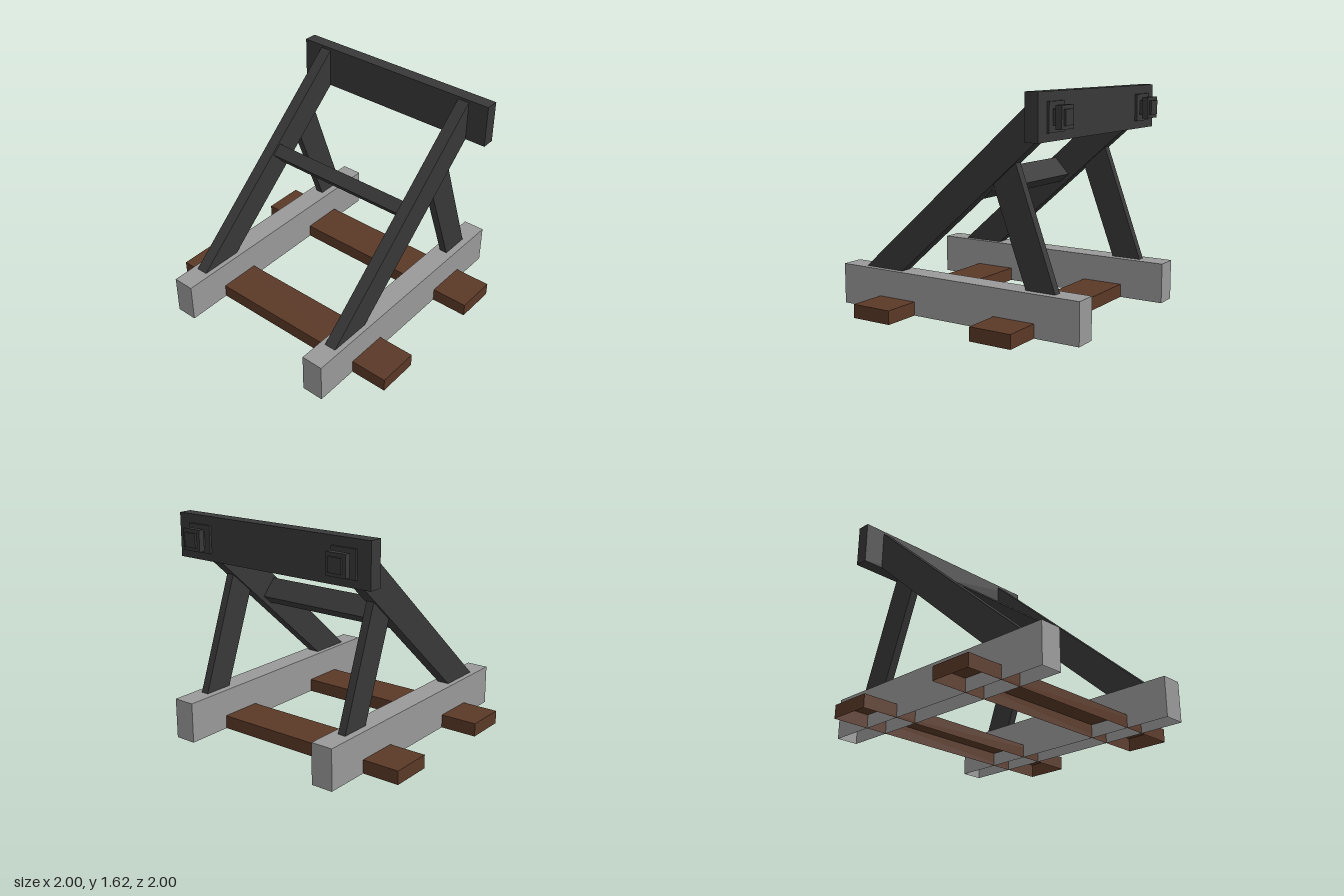
import * as THREE from 'three';

const material = (color, side = THREE.FrontSide) =>
  new THREE.MeshStandardMaterial({ color, side, flatShading: true });

export function createModel() {
  const model = new THREE.Group();
  model.name = 'bufferStop';
  const iron = material(0x383838);
  const steel = material(0x999999, THREE.DoubleSide);
  const wood = material(0x5a3826, THREE.DoubleSide);

  function add(name, geometry, mat) {
    const mesh = new THREE.Mesh(geometry, mat);
    mesh.name = name;
    model.add(mesh);
    return mesh;
  }

  // box given by its lower and upper limits; optionally left open underneath
  function box(name, [x0, x1], [y0, y1], [z0, z1], mat, open = false) {
    const g = new THREE.BoxGeometry(x1 - x0, y1 - y0, z1 - z0);
    if (open) {
      const index = Array.from(g.index.array);
      index.splice(18, 6);
      g.setIndex(index);
      g.clearGroups();
    }
    g.translate((x0 + x1) / 2, (y0 + y1) / 2, (z0 + z1) / 2);
    return add(name, g, mat);
  }

  // beam with an outline in the xy plane, running along z
  function beam(name, outline, zMid, width) {
    const shape = new THREE.Shape(outline.map(([x, y]) => new THREE.Vector2(x, y)));
    const g = new THREE.ExtrudeGeometry(shape, { depth: width, bevelEnabled: false });
    g.translate(0, 0, zMid - width / 2);
    return add(name, g, iron);
  }

  // sleepers, hollow below
  for (const x of [-0.5, 0.5]) {
    box('sleeper', [x - 0.16, x + 0.16], [0, 0.1], [-1, 1], wood, true);
  }

  for (const s of [-1, 1]) {
    const z = s * 0.635;

    // rail, hollow below
    box('rail', [-1, 1], [0, 0.3], [z - 0.083, z + 0.083], steel, true);

    // sloping beam, its square-cut foot sunk into the rail
    beam('slopingBeam', [[-0.815, 0.295], [-0.66, 0.14], [0.66, 1.3], [0.7, 1.335], [0.7, 1.6], [0.66, 1.6]], z, 0.09);

    // rear strut under the sloping beam
    beam('strut', [[0.57, 0.28], [0.797, 0.28], [0.473, 1.17], [0.295, 1.015]], z, 0.06);

    // stepped buffer: base plate, shaft and collar
    for (const [name, x0, x1, half] of [
      ['bufferBase', 0.755, 0.777, 0.1],
      ['bufferShaft', 0.77, 0.87, 0.052],
      ['bufferCollar', 0.81, 0.855, 0.078],
    ]) {
      box(name, [x0, x1], [1.457 - half, 1.457 + half], [z - half, z + half], iron);
    }
  }

  // tilted bar between the sloping beams
  beam('crossBar', [[-0.02, 0.975], [0.095, 0.85], [0.17, 0.915], [0.055, 1.04]], 0, 1.19);

  // bumper plank
  box('bumperPlank', [0.66, 0.76], [1.3, 1.62], [-0.84, 0.84], iron);

  return model;
}
